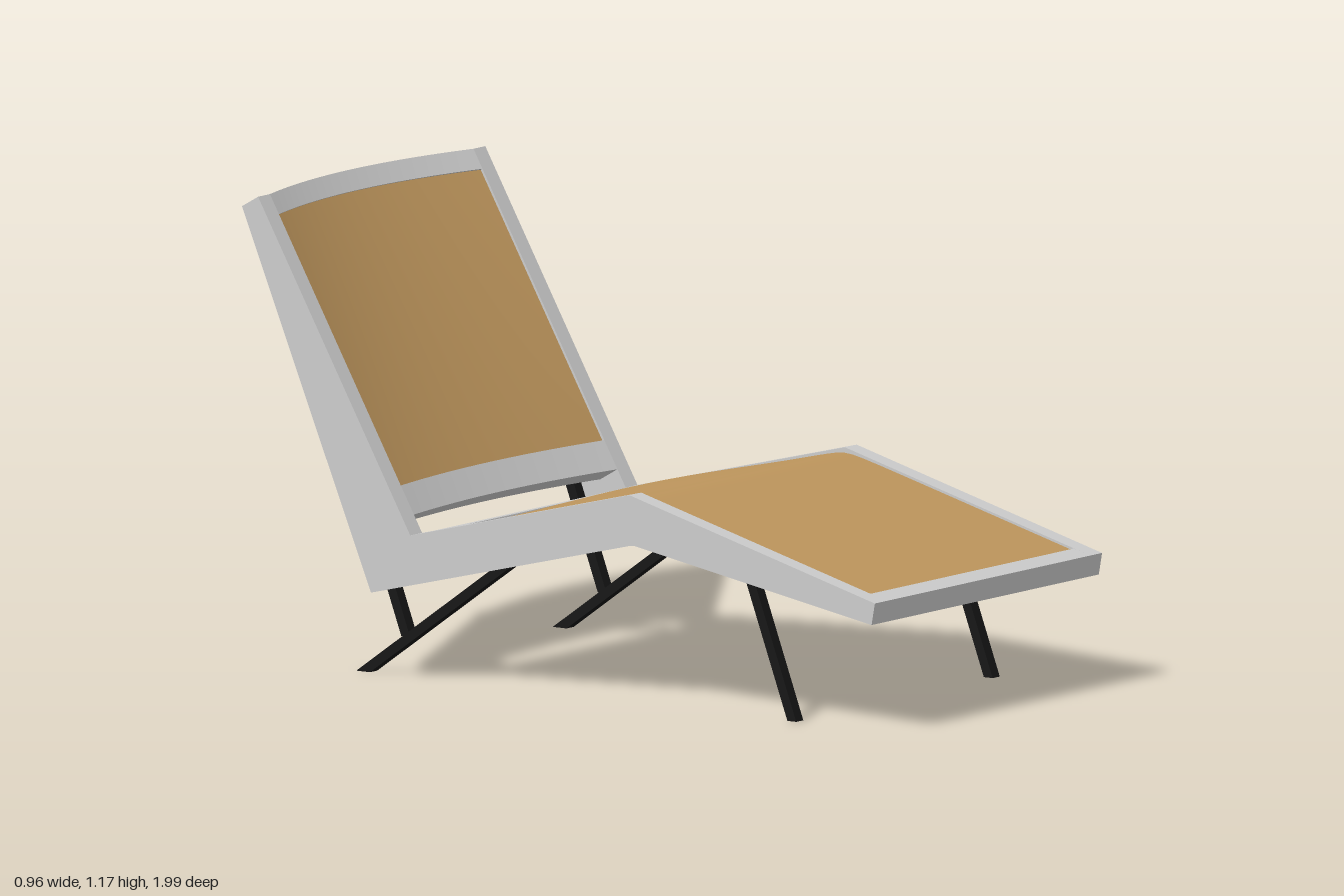
import * as THREE from 'three';
import { ParametricGeometry } from 'three/addons/geometries/ParametricGeometry.js';
import { toCreasedNormals } from 'three/addons/utils/BufferGeometryUtils.js';

const HALF = 0.48, INNER = 0.43;
const frameMat = new THREE.MeshStandardMaterial({ color: 0xcccccc });
const legMat = new THREE.MeshStandardMaterial({ color: 0x141414 });
const fabricMat = new THREE.MeshStandardMaterial({ color: 0xbd955c, side: THREE.DoubleSide });

// Extrudes a [z, y] outline across x, centred on x = 0
function prism(outline, width, steps = 1) {
  const shape = new THREE.Shape(outline.map(([z, y]) => new THREE.Vector2(z, y)));
  const geo = new THREE.ExtrudeGeometry(shape, { depth: width, steps, bevelEnabled: false });
  return geo.translate(0, 0, -width / 2).rotateY(-Math.PI / 2);
}

// 1 in the middle of the width, 0 at the side frames
const arch = (x) => Math.max(0, 1 - (x / INNER) ** 2);

// Moves every vertex by a rule, then smooths the gentle bends
function bend(geo, rule) {
  const pos = geo.attributes.position, p = new THREE.Vector3();
  for (let i = 0; i < pos.count; i++) {
    rule(p.fromBufferAttribute(pos, i));
    pos.setXYZ(i, p.x, p.y, p.z);
  }
  return toCreasedNormals(geo, 0.5);
}

// Point on the backrest: s along its front face, d behind it
const onBack = (s, d) => [-0.42 - 0.5 * s - 0.866 * d, 0.365 + 0.866 * s - 0.5 * d];
// Backward bow of the backrest, growing from bottom to top
const bowAt = (s) => 0.03 + 0.03 * (s / 0.93);

// Seat height along z: two slopes blended at the knee
function seatHeight(z) {
  const a = 0.33 + (1 - z) * 0.2667, b = 0.53 - (0.25 - z) * 0.246;
  return (a + b - Math.hypot(a - b, 0.015)) / 2;
}

export function createModel() {
  const model = new THREE.Group();
  const add = (name, geo, mat, x = 0) => {
    const mesh = new THREE.Mesh(geo, mat);
    mesh.name = name;
    mesh.position.x = x;
    model.add(mesh);
  };

  // Side frames and legs, mirrored
  const side = [
    [1, 0.33], [0.25, 0.53], [-0.42, 0.365], onBack(0.93, 0),
    onBack(0.93, 0.057), [-0.54, 0.21], [0.26, 0.405], [0.99, 0.275],
  ];
  const bar = ([z0, y0], [z1, y1], w) => prism(
    [[z0 - w, y0], [z0 + w, y0], [z1 + w, y1], [z1 - w, y1]], 0.03);
  for (const [label, s] of [['left', 1], ['right', -1]]) {
    add(label + 'SideFrame', prism(side, HALF - INNER), frameMat, s * (HALF + INNER) / 2);
    add(label + 'FrontLeg', bar([0.71, 0], [0.575, 0.36], 0.0135), legMat, s * 0.415);
    add(label + 'RearLeg', bar([-0.6, 0], [-0.17, 0.305], 0.021), legMat, s * 0.415);
    add(label + 'RearStrut', bar([-0.47, 0.1], [-0.59, 0.42], 0.0135), legMat, s * 0.415);
  }

  // Straight seat rails
  add('frontRail', prism([[1, 0.33], [0.99, 0.275], [0.94, 0.284], [0.95, 0.343]], 2 * INNER), frameMat);
  add('seatRearRail', prism([[-0.3, 0.394], [-0.38, 0.375], [-0.352, 0.257], [-0.272, 0.276]], 2 * INNER), frameMat);

  // Knee beam with a sagging upper edge
  const beam = prism([[0.29, 0.4], [0.29, 0.5], [0.2, 0.5], [0.2, 0.391]], 2 * INNER, 16);
  add('kneeBeam', bend(beam, (p) => { if (p.y > 0.45) p.y -= 0.05 * arch(p.x); }), frameMat);

  // Bowed backrest rails
  const bowedRail = (s0, s1, depth) => bend(
    prism([onBack(s0, 0), onBack(s1, 0), onBack(s1, depth), onBack(s0, depth)], 2 * INNER, 24),
    (p) => { p.z -= bowAt(s1) * arch(p.x); });
  add('backTopRail', bowedRail(0.875, 0.93, 0.057), frameMat);
  add('backLowerRail', bowedRail(0.05, 0.13, 0.06), frameMat);

  // Seat fabric, slightly raised in the middle of its rear half
  add('seatFabric', new ParametricGeometry((u, v, p) => {
    const x = (2 * u - 1) * INNER, z = 0.955 - 1.26 * v;
    const swell = z < 0.2 ? Math.sin(Math.PI * (0.2 - z) / 0.505) : 0;
    p.set(x, seatHeight(z) - 0.006 + 0.016 * swell * arch(x), z);
  }, 16, 48), fabricMat);

  // Backrest fabric, following the bowed rails
  add('backFabric', new ParametricGeometry((u, v, p) => {
    const x = (2 * u - 1) * INNER, s = 0.125 + 0.755 * v;
    const [z, y] = onBack(s, 0.006);
    p.set(x, y, z - bowAt(s) * arch(x));
  }, 24, 8), fabricMat);

  return model;
}
